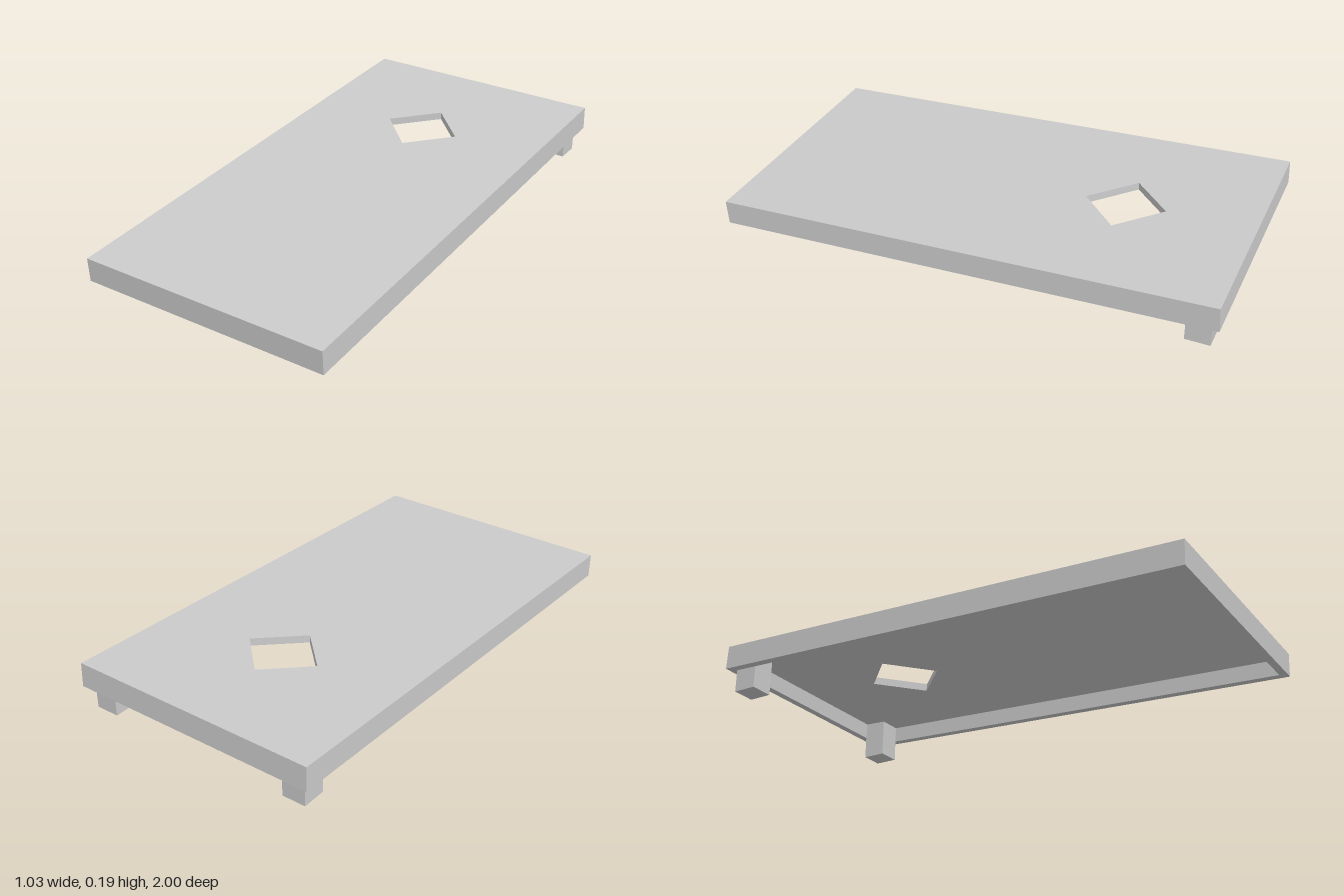
import * as THREE from 'three';

const WIDTH = 1.032, LENGTH = 1.997, HEIGHT = 0.097;
const DECK = 0.031, RAIL = 0.032, LEG = 0.096;
const TILT = Math.asin(0.048);

const material = new THREE.MeshStandardMaterial({ color: 0xcccccc, flatShading: true });

function addMesh(parent, name, geometry) {
  const mesh = new THREE.Mesh(geometry, material);
  mesh.name = name;
  parent.add(mesh);
  return mesh;
}

const rectangle = (w, l) => [[-w / 2, -l / 2], [w / 2, -l / 2], [w / 2, l / 2], [-w / 2, l / 2]]
  .map(([x, y]) => new THREE.Vector2(x, y));

// Horizontal slab with an opening; its underside lies at height y
function slab(holePoints, thickness, y) {
  const shape = new THREE.Shape(rectangle(WIDTH, LENGTH));
  shape.holes.push(new THREE.Path(holePoints));
  return new THREE.ExtrudeGeometry(shape, { depth: thickness, bevelEnabled: false })
    .rotateX(-Math.PI / 2)
    .translate(0, y, 0);
}

export function createModel() {
  const model = new THREE.Group();
  model.name = 'slopedTossBoard';

  // Tilted board, raised at the back
  const board = new THREE.Group();
  board.name = 'board';
  board.position.y = 0.0965;
  board.rotation.x = TILT;
  model.add(board);

  // Deck with a diamond hole toward the back
  const r = 0.161, hz = 0.483;
  const diamond = [[r, 0], [0, r], [-r, 0], [0, -r]].map(([x, y]) => new THREE.Vector2(x, y + hz));
  addMesh(board, 'deck', slab(diamond, DECK, HEIGHT / 2 - DECK));

  // Rail frame under the deck, open in the middle
  const opening = rectangle(WIDTH - 2 * RAIL, LENGTH - 2 * RAIL);
  addMesh(board, 'railFrame', slab(opening, HEIGHT - DECK, -HEIGHT / 2));

  // Upright legs set inside the two back corners
  const legHeight = 0.162;
  for (const side of [1, -1]) {
    const leg = addMesh(model, side > 0 ? 'leftLeg' : 'rightLeg', new THREE.BoxGeometry(LEG, legHeight, LEG));
    leg.position.set(side * (WIDTH / 2 - RAIL - LEG / 2), legHeight / 2, -0.92);
  }

  return model;
}
